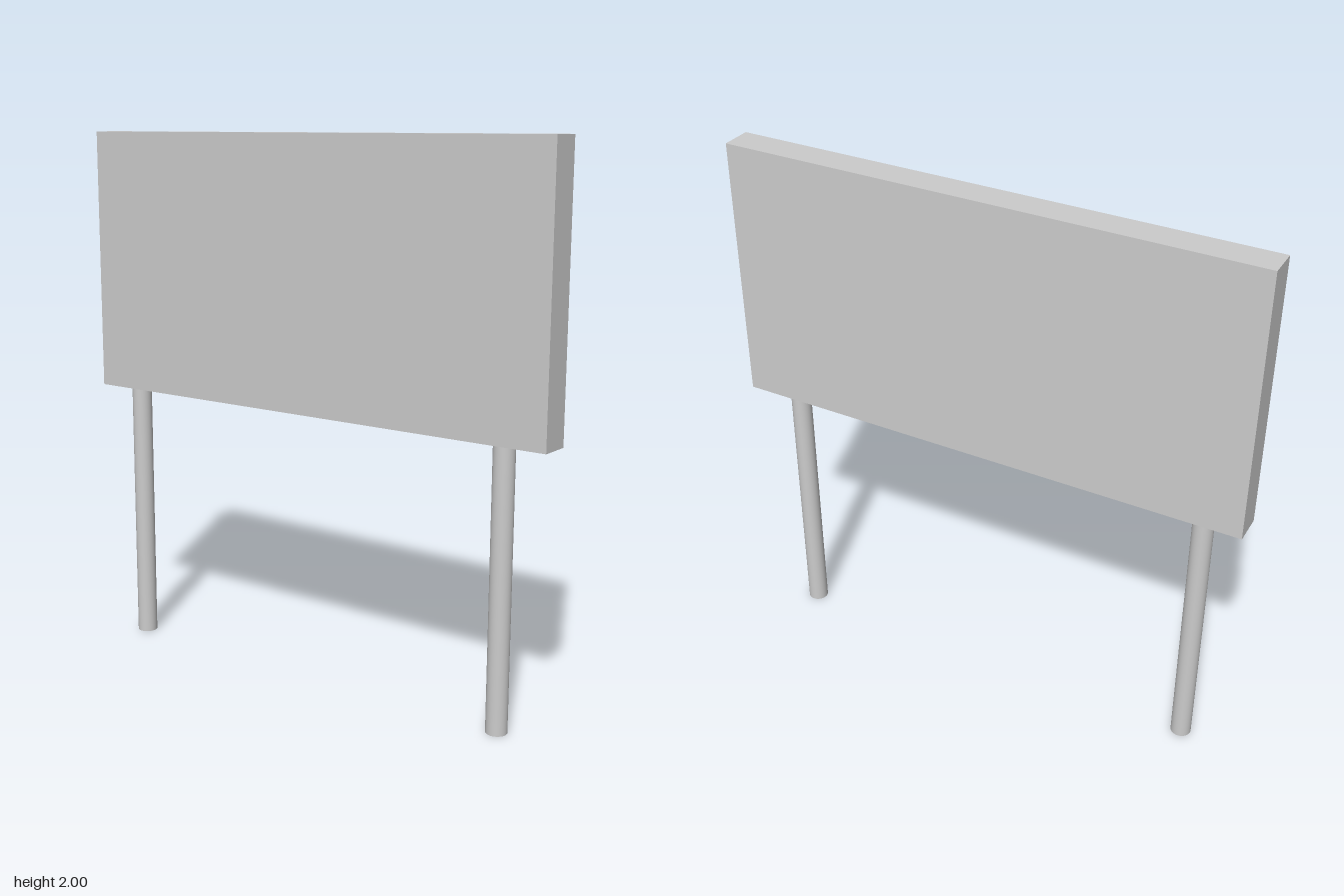
import * as THREE from 'three';

export function createModel() {
  const group = new THREE.Group();
  group.name = 'billboard';
  const material = new THREE.MeshStandardMaterial({ color: 0xcccccc });

  // Flat rectangular board
  const panelBottom = 1.01, panelTop = 2;
  const panel = new THREE.Mesh(
    new THREE.BoxGeometry(1.98, panelTop - panelBottom, 0.115), material);
  panel.name = 'panel';
  panel.position.y = (panelBottom + panelTop) / 2;
  group.add(panel);

  // Two round posts, set slightly off centre
  const postGeometry = new THREE.CylinderGeometry(0.038, 0.038, panelBottom, 32);
  for (const [name, x] of [['rightPost', -0.836], ['leftPost', 0.807]]) {
    const post = new THREE.Mesh(postGeometry, material);
    post.name = name;
    post.position.set(x, panelBottom / 2, 0);
    group.add(post);
  }

  return group;
}
